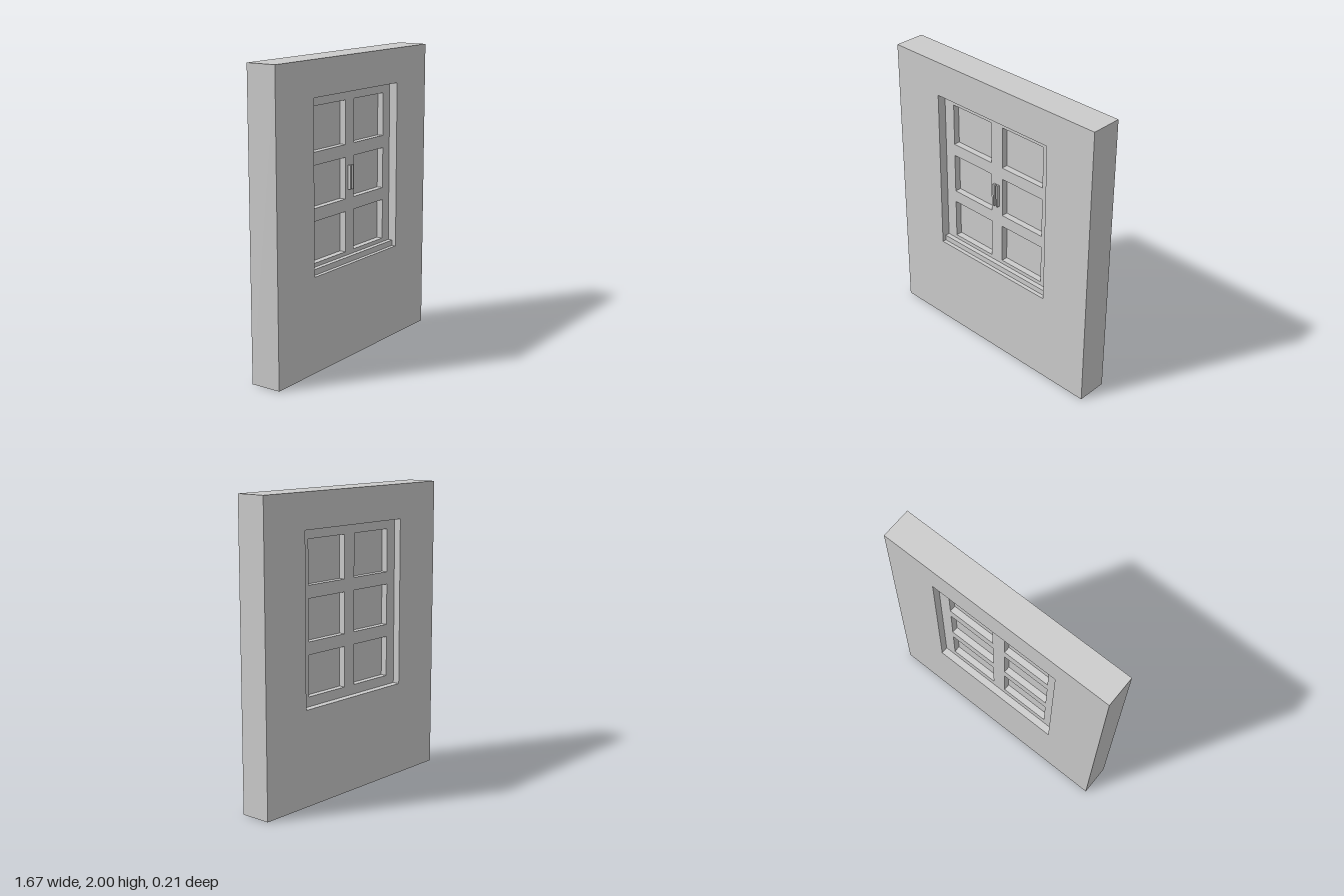
import * as THREE from 'three';

const material = new THREE.MeshStandardMaterial({ color: 0xcccccc, flatShading: true });

// Rectangles are [x0, x1, y0, y1]
function trace(path, [x0, x1, y0, y1]) {
  path.moveTo(x0, y0);
  path.lineTo(x1, y0);
  path.lineTo(x1, y1);
  path.lineTo(x0, y1);
  path.closePath();
  return path;
}

// Upright slab between z0 and z1, with rectangular holes
function slab(name, rect, z0, z1, holes = []) {
  const shape = trace(new THREE.Shape(), rect);
  holes.forEach((h) => shape.holes.push(trace(new THREE.Path(), h)));
  const geometry = new THREE.ExtrudeGeometry(shape, { depth: z1 - z0, bevelEnabled: false });
  geometry.translate(0, 0, z0);
  const mesh = new THREE.Mesh(geometry, material);
  mesh.name = name;
  return mesh;
}

export function createModel() {
  const model = new THREE.Group();
  model.name = 'wallWithWindow';

  const opening = [-0.46, 0.476, 0.638, 1.767];
  const columns = [[-0.381, -0.042], [0.053, 0.397]];
  const rows = [[0.702, 0.973], [1.057, 1.332], [1.416, 1.704]];
  const panes = rows.flatMap((r) => columns.map((c) => [...c, ...r]));

  // Wall and the window frame recessed in it
  model.add(slab('wall', [-0.833, 0.833, 0, 2], -0.105, 0.105, [opening]));
  model.add(slab('windowFrame', opening, -0.057, 0.046, panes));

  // Glass panes set in the middle of the frame
  const glass = new THREE.Group();
  glass.name = 'glass';
  panes.forEach((p) => glass.add(slab('pane', p, -0.014, 0.003)));
  model.add(glass);

  // Sill along the bottom of the front recess
  model.add(slab('sill', [opening[0], opening[1], opening[2], 0.676], 0.046, 0.078));

  // Pair of pull handles on the front
  for (const [name, x] of [['rightHandle', -0.013], ['leftHandle', 0.014]]) {
    model.add(slab(name, [x, x + 0.013, 1.117, 1.276], 0.046, 0.066));
  }
  return model;
}
